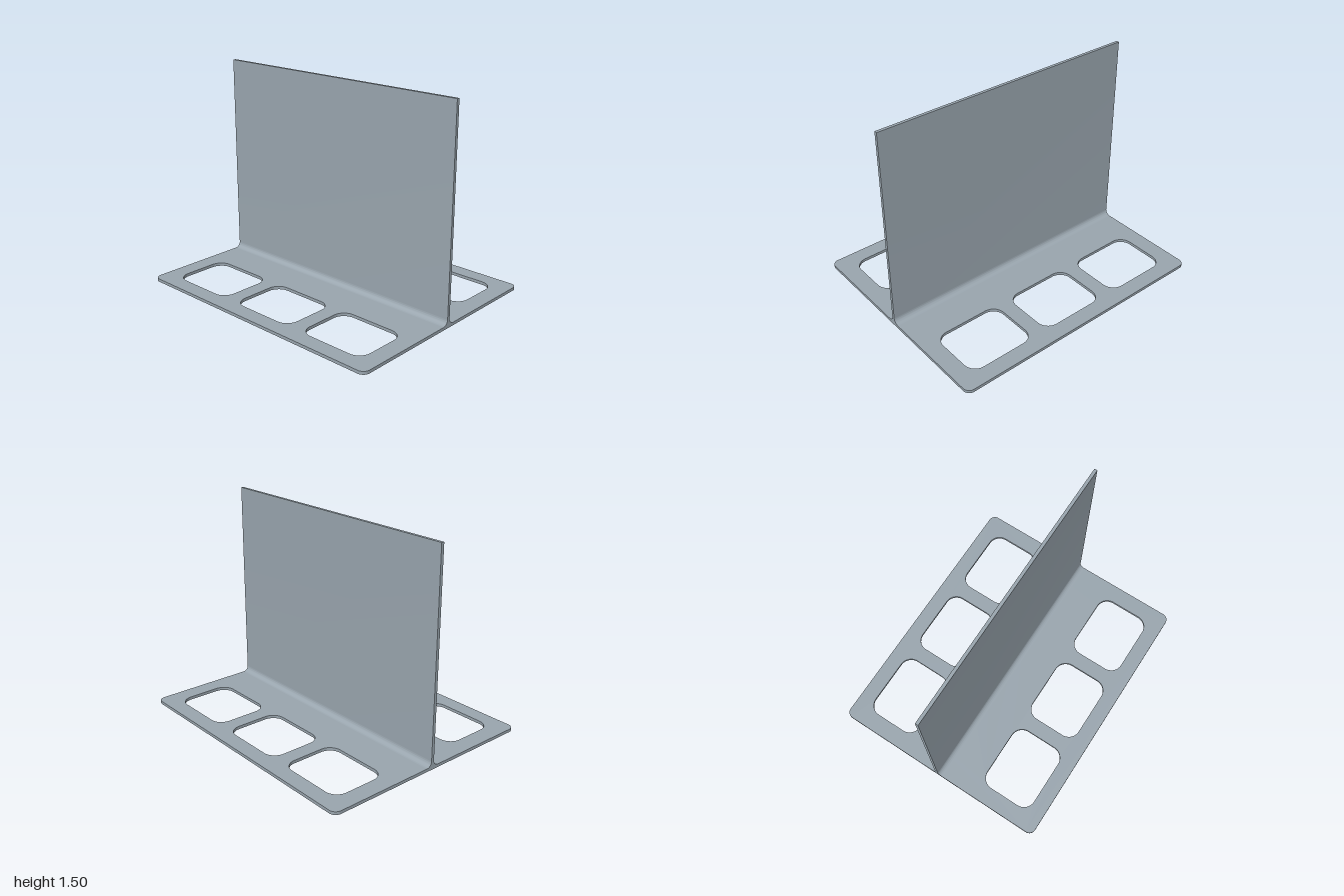
import * as THREE from 'three';
import { toCreasedNormals } from 'three/addons/utils/BufferGeometryUtils.js';

const T = 0.022; // sheet thickness

// Rounded rectangle centred on (cx, cy)
function roundedRect(path, cx, cy, w, h, r) {
  const x = w / 2 - r, y = h / 2 - r;
  path.moveTo(cx + x + r, cy - y);
  path.absarc(cx + x, cy + y, r, 0, Math.PI / 2);
  path.absarc(cx - x, cy + y, r, Math.PI / 2, Math.PI);
  path.absarc(cx - x, cy - y, r, Math.PI, Math.PI * 1.5);
  path.absarc(cx + x, cy - y, r, Math.PI * 1.5, Math.PI * 2);
  path.closePath();
  return path;
}

function extrude(shape, depth) {
  return new THREE.ExtrudeGeometry(shape, { depth, bevelEnabled: false, curveSegments: 12 });
}

export function createModel() {
  const group = new THREE.Group();
  group.name = 'dividerPlate';
  const steel = new THREE.MeshStandardMaterial({ color: 0x9aa6af });
  steel.name = 'greySteel';

  // Flat base with two rows of three rounded openings
  const baseShape = roundedRect(new THREE.Shape(), 0, 0, 2, 1.65, 0.05);
  for (const z of [-0.508, 0.508]) {
    for (const x of [-0.62, 0, 0.62]) {
      baseShape.holes.push(roundedRect(new THREE.Path(), x, z, 0.507, 0.405, 0.09));
    }
  }
  const baseGeometry = extrude(baseShape, T).rotateX(-Math.PI / 2);
  const base = new THREE.Mesh(toCreasedNormals(baseGeometry, 0.5), steel);
  base.name = 'basePlate';

  // Upright wall that flares into the base with a fillet on each side
  const half = T / 2, r = 0.04;
  const profile = new THREE.Shape();
  profile.moveTo(-half, 1.5);
  profile.lineTo(half, 1.5);
  profile.absarc(half + r, T + r, r, Math.PI, Math.PI * 1.5);
  profile.lineTo(-half - r, T);
  profile.absarc(-half - r, T + r, r, Math.PI * 1.5, Math.PI * 2);
  profile.closePath();
  const wallGeometry = extrude(profile, 2).translate(0, 0, -1).rotateY(Math.PI / 2);
  const wall = new THREE.Mesh(toCreasedNormals(wallGeometry, 0.5), steel);
  wall.name = 'uprightWall';

  group.add(base, wall);
  return group;
}
